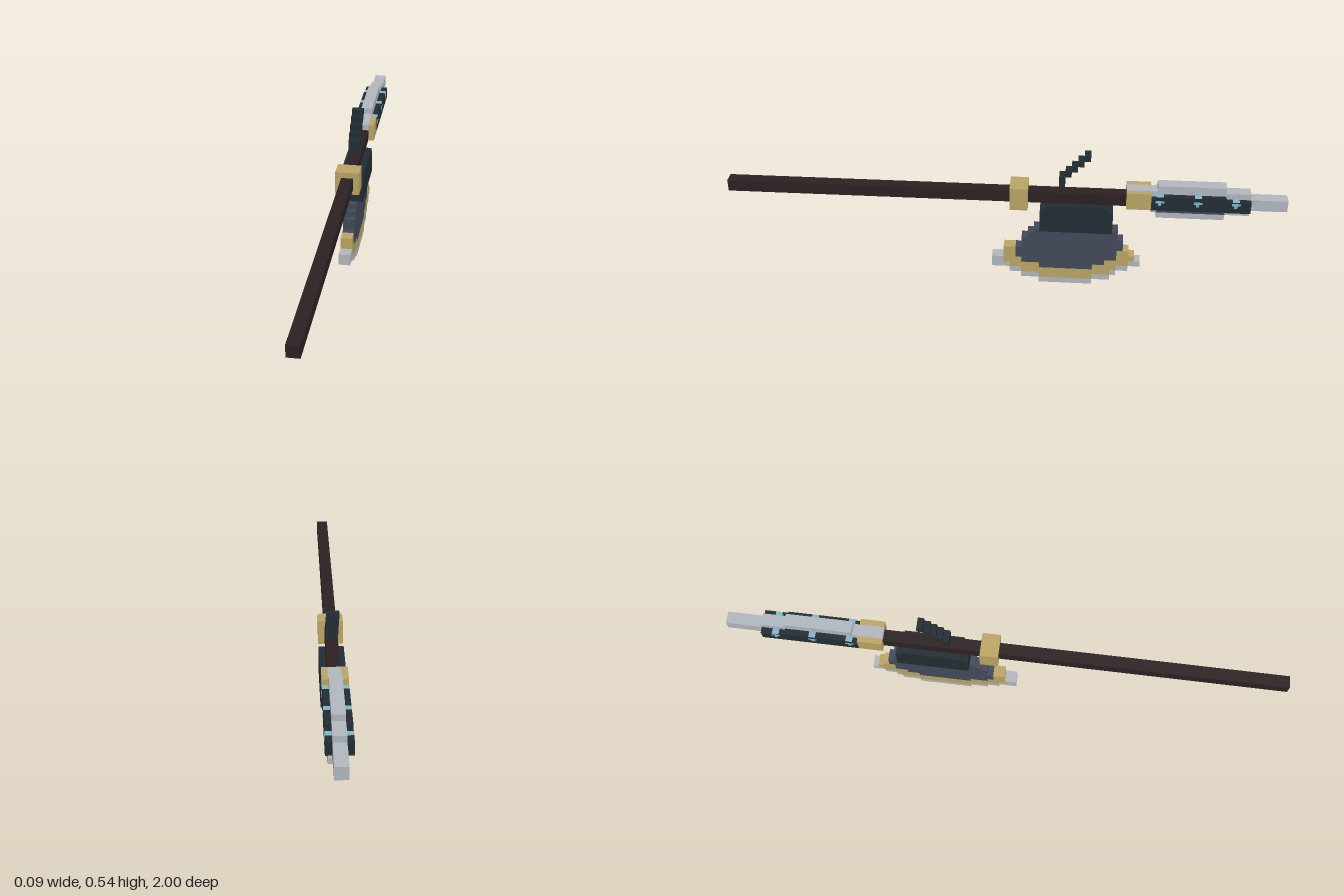
import * as THREE from 'three';

const U = 2 / 92; // edge of one block

const material = (name, color) => {
  const m = new THREE.MeshStandardMaterial({ color });
  m.name = name;
  return m;
};

export function createModel() {
  const wood = material('dark wood', 0x2b2022);
  const gold = material('gold', 0xbaa465);
  const silver = material('silver', 0xb0b6bd);
  const slate = material('slate blue', 0x424959);
  const iron = material('dark iron', 0x212c33);
  const cyan = material('pale cyan', 0x7fb5c6);

  const model = new THREE.Group();
  const group = (name) => {
    const g = new THREE.Group();
    g.name = name;
    model.add(g);
    return g;
  };

  // Box given by its limits in blocks
  const box = (parent, name, mat, x0, x1, y0, y1, z0, z1) => {
    const geo = new THREE.BoxGeometry((x1 - x0) * U, (y1 - y0) * U, Math.abs(z1 - z0) * U);
    const mesh = new THREE.Mesh(geo, mat);
    mesh.position.set((x0 + x1) * U / 2, (y0 + y1) * U / 2, (z0 + z1) * U / 2);
    mesh.name = name;
    parent.add(mesh);
  };

  // Shaft and collar
  box(model, 'shaft', wood, -1, 1, 16, 18, -20, 46);
  box(model, 'collar', gold, -2, 2, 15, 19, -4, -1);

  // Block that holds the axe blade
  const mount = group('bladeMount');
  box(mount, 'mountBody', iron, -2, 2, 11, 15, -18, -6);
  box(mount, 'mountTop', iron, -2, 2, 15, 16, -17, -7);

  // Axe blade, one row per block of height: [edge, band, core], each as [front z, back z]
  const rows = [
    [[-6, -15]],
    [[-3, -18], [-6, -15]],
    [[-1, -19], [-3, -18]],
    [[2, -21], [-1, -19], [-6, -15]],
    [[2, -23], [0, -21], [-3, -17]],
    [null, [0, -22], [-2, -19]],
    [null, [0, -21], [-2, -19]],
    [null, null, [-3, -20]],
    [null, null, [-3, -20]],
    [null, null, [-4, -19]],
    [null, null, [-5, -19]],
  ];
  const blade = group('axeBlade');
  const layers = [['cuttingEdge', silver], ['goldBand', gold], ['bladeCore', slate]];
  rows.forEach((row, y) => {
    row.forEach((span, i) => {
      if (!span) return;
      const [name, mat] = layers[i];
      const inner = row[i + 1];
      if (!inner) box(blade, name, mat, -1, 1, y, y + 1, span[1], span[0]);
      else {
        box(blade, name, mat, -1, 1, y, y + 1, inner[0], span[0]);
        box(blade, name, mat, -1, 1, y, y + 1, span[1], inner[1]);
      }
    });
  });

  // Stepped hook above the shaft
  const hook = group('hook');
  [9, 9, 10, 11, 12, 13].forEach((z, i) => {
    box(hook, 'hookStep', iron, -1, 1, 19 + i, 20 + i, -z - 1, -z);
  });

  // Spear point
  const spear = group('spearPoint');
  box(spear, 'spearNeck', silver, -1, 1, 16, 19, -24, -20);
  box(spear, 'spearBody', silver, -1, 1, 15, 19, -40, -24);
  box(spear, 'spearRidge', silver, -1, 1, 14, 20, -36, -25);
  box(spear, 'spearTip', silver, -1, 1, 16, 18, -46, -40);

  // Socket cheeks, side plates and inlays, mirrored
  for (const s of [-1, 1]) {
    const side = (name, mat, a, b, ...rest) =>
      box(spear, name, mat, Math.min(s * a, s * b), Math.max(s * a, s * b), ...rest);
    side('socketCheek', gold, 1, 2, 16, 19, -24, -20);
    side('sidePlate', iron, 1, 2, 16, 18, -40, -24);
    side('sidePlateTop', iron, 1, 2, 18, 18.5, -36, -25);
    side('lowerStrip', slate, 1, 1.3, 15.2, 16, -36, -25);
    for (const z of [-25.4, -31.5, -37.6]) {
      const top = z < -36 ? 18 : 18.5;
      side('inlayBar', cyan, 2, 2.04, 17.4, 17.8, z - 0.7, z + 0.7);
      side('inlayStem', cyan, 2, 2.04, 16.9, 17.4, z - 0.2, z + 0.3);
      side('inlayTop', cyan, 1, 2, top, top + 0.04, z - 0.55, z + 0.55);
    }
  }

  return model;
}
